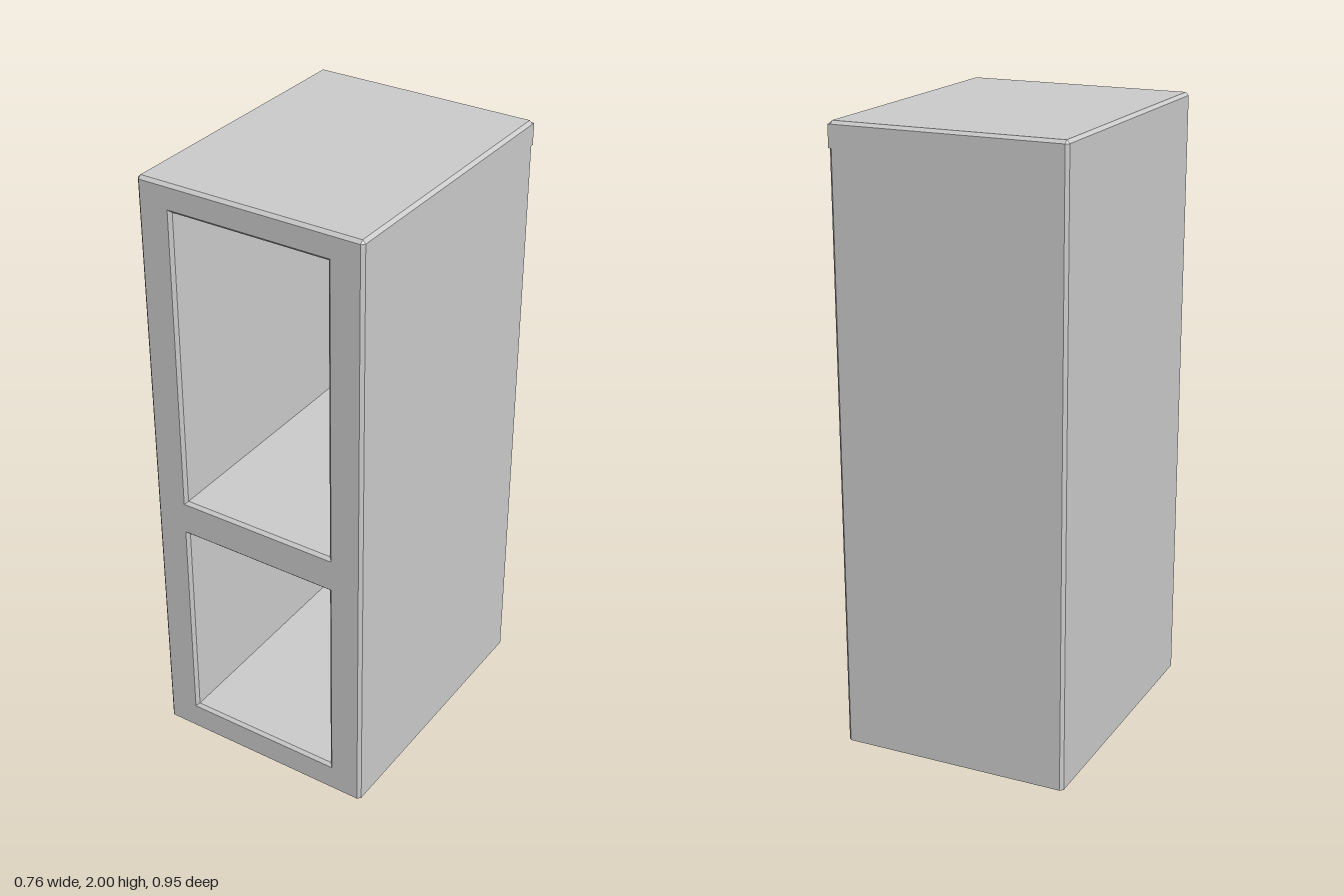
import * as THREE from 'three';

const W = 0.378, D = 0.474, H = 2, C = 0.01;   // half width, half depth, height, chamfer
const BACK = -0.37;                            // z of the inner back wall
const OPENINGS = [
  { name: 'lowerCompartment', x: 0.272, y0: 0.085, y1: 0.807 },
  { name: 'upperCompartment', x: 0.272, y0: 0.912, y1: 1.92 },
];

const material = new THREE.MeshStandardMaterial({ color: 0xcccccc, flatShading: true });

// Joins rings of points with flat quads; skip leaves out one side, caps close the ends.
function loft(rings, { skip = -1, capStart = false, capEnd = false } = {}) {
  const pos = [];
  const tri = (...pts) => pts.forEach((p) => pos.push(...p));
  const n = rings[0].length;
  for (let r = 0; r < rings.length - 1; r++) {
    const a = rings[r], b = rings[r + 1];
    for (let i = 0; i < n; i++) {
      if (i === skip) continue;
      const j = (i + 1) % n;
      tri(a[i], a[j], b[j]);
      tri(a[i], b[j], b[i]);
    }
  }
  const first = rings[0], last = rings[rings.length - 1];
  for (let i = 1; i < n - 1; i++) {
    if (capStart) tri(first[0], first[i + 1], first[i]);
    if (capEnd) tri(last[0], last[i], last[i + 1]);
  }
  const geometry = new THREE.BufferGeometry();
  geometry.setAttribute('position', new THREE.Float32BufferAttribute(pos, 3));
  geometry.computeVertexNormals();
  return geometry;
}

// Horizontal outline with chamfered corners; side 0 is the front.
function outline(w, d, c, y) {
  return [
    [-w + c, y, d], [w - c, y, d], [w, y, d - c], [w, y, -d + c],
    [w - c, y, -d], [-w + c, y, -d], [-w, y, -d + c], [-w, y, d - c],
  ];
}

// Upright rectangle, counter-clockwise from the front, inset by e.
function rectangle({ x, y0, y1 }, e, z) {
  return [[-x + e, y0 + e, z], [x - e, y0 + e, z], [x - e, y1 - e, z], [-x + e, y1 - e, z]];
}

const toPoints = (ring) => ring.map(([x, y]) => new THREE.Vector2(x, y));

export function createModel() {
  const group = new THREE.Group();
  group.name = 'cabinet';
  const add = (name, geometry) => {
    const mesh = new THREE.Mesh(geometry, material);
    mesh.name = name;
    group.add(mesh);
  };

  // Sides, back and bottom, open at the front
  add('shell', loft([outline(W, D, C, 0), outline(W, D, C, H - C)], { skip: 0, capStart: true }));

  // Top with chamfered edges
  add('top', loft([outline(W, D, C, H - C), outline(W - C, D - C, 0, H)], { capEnd: true }));

  // Front frame with two openings
  const face = new THREE.Shape(toPoints(rectangle({ x: W - C, y0: 0, y1: H - C }, 0, 0)));
  for (const opening of OPENINGS) {
    face.holes.push(new THREE.Path(toPoints(rectangle(opening, 0, 0))));
  }
  add('frontFrame', new THREE.ShapeGeometry(face).translate(0, 0, D));

  // Compartments with a chamfered rim and a closed back
  for (const opening of OPENINGS) {
    const rings = [
      rectangle(opening, 0, D),
      rectangle(opening, C, D - C),
      rectangle(opening, C, BACK),
    ];
    add(opening.name, loft(rings, { capEnd: true }));
  }

  // Square stub at the top of the back left corner
  const corner = (y) => [[W, y, -D + C], [W, y, -D], [W - C, y, -D]];
  add('cornerStub', loft([corner(1.92), corner(H - C)], { capStart: true, capEnd: true }));

  return group;
}
